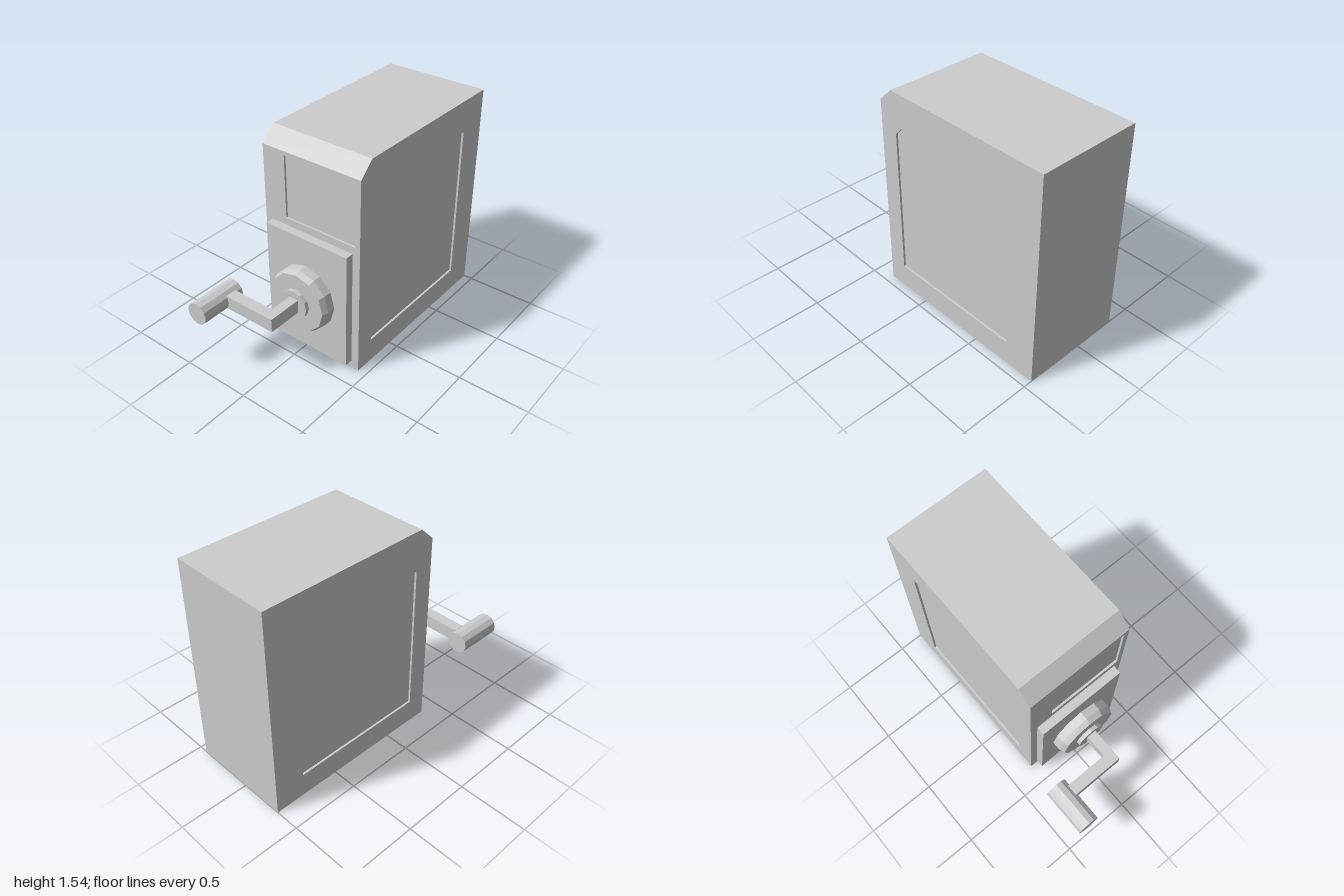
import * as THREE from 'three';
import { mergeGeometries } from 'three/addons/utils/BufferGeometryUtils.js';

const X0 = -0.325, X1 = 0.437, DEPTH = 0.015;

// Four-cornered faces, corners counter-clockwise from outside
function quads(list) {
  const pos = [];
  for (const [a, b, c, d] of list) pos.push(...a, ...b, ...c, ...a, ...c, ...d);
  const geo = new THREE.BufferGeometry();
  geo.setAttribute('position', new THREE.Float32BufferAttribute(pos, 3));
  geo.computeVertexNormals();
  return geo;
}

// Faceted copy of a geometry
function faceted(geo) {
  const flat = geo.index ? geo.toNonIndexed() : geo;
  flat.deleteAttribute('uv');
  flat.computeVertexNormals();
  return flat;
}

// Flat wall in the xy plane with a shallow sunken panel
function recessedWall(outline, panel) {
  const toVec = (points) => points.map(([x, y]) => new THREE.Vector2(x, y));
  const hole = toVec(panel);
  if (THREE.ShapeUtils.isClockWise(hole)) hole.reverse();
  const wall = new THREE.Shape(toVec(outline));
  wall.holes.push(new THREE.Path(hole));
  const rim = hole.map((a, i) => {
    const b = hole[(i + 1) % hole.length];
    return [[a.x, a.y, 0], [b.x, b.y, 0], [b.x, b.y, -DEPTH], [a.x, a.y, -DEPTH]];
  });
  const floor = new THREE.ShapeGeometry(new THREE.Shape(hole)).translate(0, 0, -DEPTH);
  return mergeGeometries([faceted(new THREE.ShapeGeometry(wall)), faceted(floor), quads(rim)]);
}

const rect = (x0, y0, x1, y1) => [[x0, y0], [x1, y0], [x1, y1], [x0, y1]];

export function createModel() {
  const group = new THREE.Group();
  const grey = new THREE.MeshStandardMaterial({ color: 0xcccccc });
  grey.name = 'plain grey';

  const add = (name, geo) => {
    const mesh = new THREE.Mesh(geo, grey);
    mesh.name = name;
    group.add(mesh);
  };
  // Twelve-sided round part lying along z
  const round = (name, x, y, z0, z1, rBack, rFront = rBack, open = false) =>
    add(name, faceted(new THREE.CylinderGeometry(rFront, rBack, z1 - z0, 12, 1, open))
      .rotateX(Math.PI / 2).translate(x, y, (z0 + z1) / 2));

  // Housing: side profile as [z, y] with a sloped upper front edge
  const profile = [[-1, 0], [0.36, 0], [0.36, 1.445], [0.255, 1.545], [-1, 1.545]];
  const sidePanel = [[-0.78, 0.175], [0.225, 0.175], [0.225, 1.25], [0.165, 1.312], [-0.78, 1.312]];
  const shell = [];
  profile.forEach(([z, y], i) => {
    if (i === 1) return; // the front wall is made separately
    const [zb, yb] = profile[(i + 1) % profile.length];
    shell.push([[X0, y, z], [X1, y, z], [X1, yb, zb], [X0, yb, zb]]);
  });
  add('housingShell', quads(shell));

  // Side walls with sunken panels
  for (const side of [1, -1]) {
    const turn = ([z, y]) => [-side * z, y];
    add(side > 0 ? 'leftWall' : 'rightWall',
      recessedWall(profile.map(turn), sidePanel.map(turn))
        .rotateY(side * Math.PI / 2).translate(side > 0 ? X1 : X0, 0, 0));
  }

  // Front wall with sunken window panel
  add('frontWall', recessedWall(rect(X0, 0, X1, 1.445), rect(-0.152, 0.97, 0.4, 1.417))
    .translate(0, 0, 0.36));

  // Raised plate behind the crank
  add('frontPlate', new THREE.BoxGeometry(0.652, 0.86, 0.06).translate(0.055, 0.487, 0.39));

  // Dial with bevelled rim, and hub
  const cx = 0.055, cy = 0.486;
  round('dialRim', cx, cy, 0.42, 0.48, 0.23, 0.23, true);
  round('dialBevel', cx, cy, 0.48, 0.52, 0.23, 0.213);
  round('hub', cx, cy, 0.52, 0.548, 0.103);

  // Bent crank arm, outlined as [x, z]
  const arm = new THREE.Shape([[0.02, 0.548], [0.09, 0.548], [0.09, 0.797], [-0.3, 0.797],
    [-0.3, 0.715], [0.02, 0.715]].map(([x, z]) => new THREE.Vector2(x, z)));
  add('crankArm', new THREE.ExtrudeGeometry(arm, { depth: 0.097, bevelEnabled: false })
    .rotateX(Math.PI / 2).translate(0, 0.535, 0));

  // Grip
  round('crankGrip', -0.36, cy, 0.665, 1, 0.079);

  return group;
}
